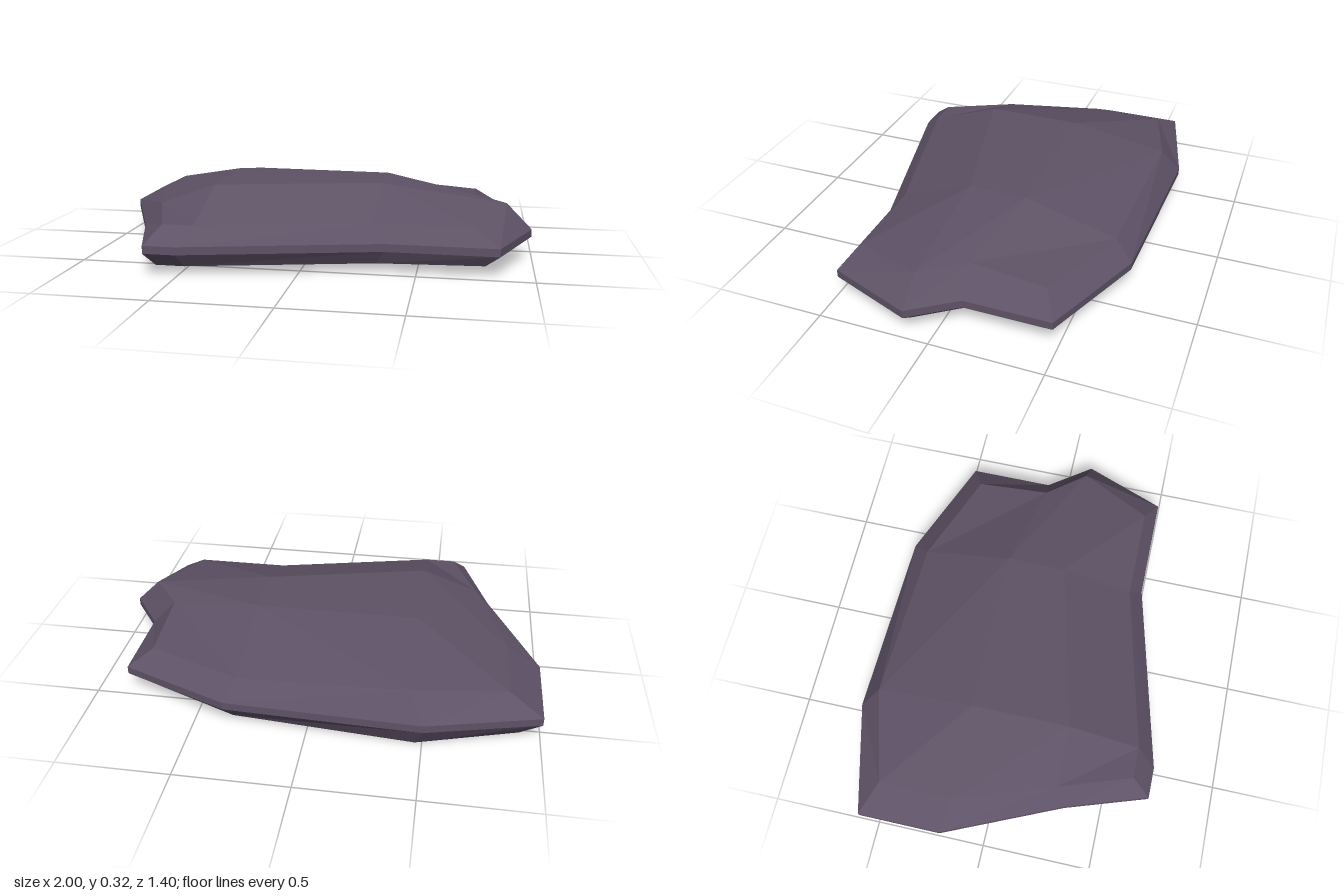
import * as THREE from 'three';

// Ring order around a 4 x 4 grid of points, clockwise from above
const RING = [0, 1, 2, 3, 7, 11, 15, 14, 13, 12, 8, 4];

// Top surface, four rows from back to front: [x, y, z]
const TOP = [
  [-0.85, 0.21, -0.51], [-0.44, 0.25, -0.62], [0.31, 0.21, -0.59], [0.74, 0.21, -0.42],
  [-0.85, 0.21, -0.17], [-0.44, 0.325, -0.17], [0.31, 0.325, -0.17], [0.74, 0.25, -0.08],
  [-0.70, 0.23, 0.28], [-0.44, 0.325, 0.28], [0.31, 0.325, 0.10], [0.88, 0.25, 0.10],
  [-0.58, 0.21, 0.61], [-0.44, 0.21, 0.61], [0.31, 0.21, 0.43], [0.74, 0.21, 0.43],
];

// Underside, same layout
const BOTTOM = [
  [-0.91, 0.02, -0.54], [-0.47, 0, -0.65], [0.33, 0.03, -0.62], [0.79, 0.05, -0.45],
  [-0.91, 0.02, -0.18], [-0.47, 0.02, -0.2], [0.33, 0.03, -0.2], [0.79, 0.05, -0.08],
  [-0.71, 0, 0.31], [-0.47, 0, 0.3], [0.33, 0.03, 0.1], [0.93, 0.05, 0.11],
  [-0.60, 0.04, 0.65], [-0.47, 0.04, 0.65], [0.33, 0.04, 0.46], [0.79, 0.05, 0.46],
];

// Widest outline [x, z], in ring order
const RIM = [
  [-1, -0.58], [-0.5, -0.705], [0.36, -0.675], [0.85, -0.48], [0.85, -0.09], [0.995, 0.11],
  [0.85, 0.49], [0.36, 0.49], [-0.5, 0.70], [-0.64, 0.70], [-0.765, 0.33], [-1, -0.2],
];

export function createModel() {
  const group = new THREE.Group();
  group.name = 'flatRock';
  const positions = [];
  const quad = (a, b, c, d) => positions.push(...a, ...b, ...c, ...a, ...c, ...d);

  // Top and underside patches
  for (let r = 0; r < 3; r++) {
    for (let c = 0; c < 3; c++) {
      const i = r * 4 + c;
      quad(TOP[i], TOP[i + 4], TOP[i + 5], TOP[i + 1]);
      quad(BOTTOM[i], BOTTOM[i + 1], BOTTOM[i + 5], BOTTOM[i + 4]);
    }
  }

  // Upper bevel, upright rim and lower bevel
  const rings = [
    RING.map((i) => TOP[i]),
    RIM.map(([x, z]) => [x, 0.135, z]),
    RIM.map(([x, z]) => [x, 0.1, z]),
    RING.map((i) => BOTTOM[i]),
  ];
  for (let k = 0; k < 3; k++) {
    for (let i = 0; i < 12; i++) {
      const j = (i + 1) % 12;
      quad(rings[k][i], rings[k][j], rings[k + 1][j], rings[k + 1][i]);
    }
  }

  const geometry = new THREE.BufferGeometry();
  geometry.setAttribute('position', new THREE.Float32BufferAttribute(positions, 3));
  geometry.computeVertexNormals(); // unshared corners give flat facets

  const stone = new THREE.MeshStandardMaterial({ color: 0x5e5266 });
  stone.name = 'purple grey stone';
  const slab = new THREE.Mesh(geometry, stone);
  slab.name = 'stoneSlab';
  group.add(slab);
  return group;
}
